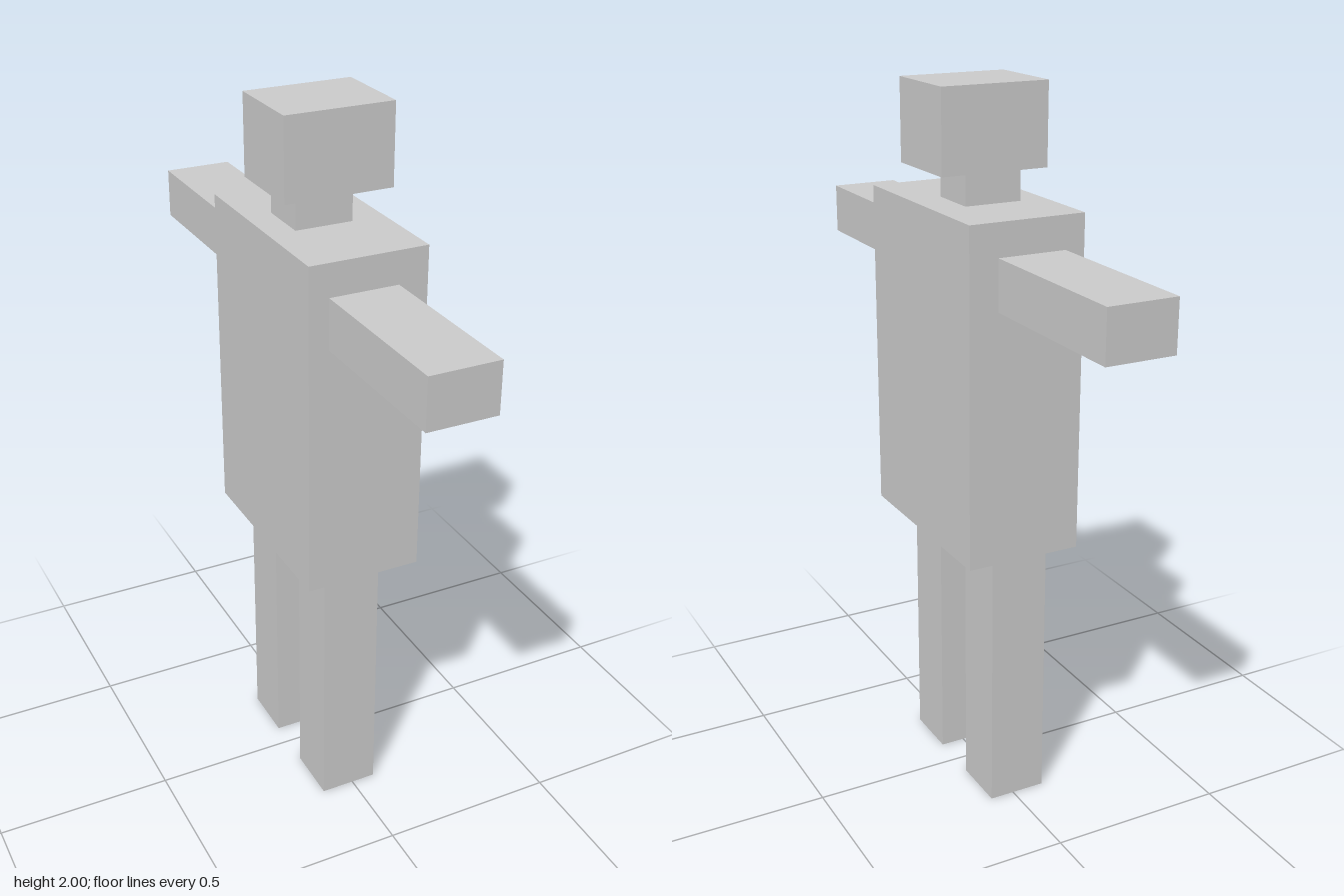
import * as THREE from 'three';

const material = new THREE.MeshStandardMaterial({ color: 0xcccccc, flatShading: true });

// Box spanning the given [min, max] ranges on each axis
function block(name, [x0, x1], [y0, y1], [z0, z1]) {
  const mesh = new THREE.Mesh(new THREE.BoxGeometry(x1 - x0, y1 - y0, z1 - z0), material);
  mesh.position.set((x0 + x1) / 2, (y0 + y1) / 2, (z0 + z1) / 2);
  mesh.name = name;
  return mesh;
}

export function createModel() {
  const figure = new THREE.Group();
  figure.name = 'blockFigure';

  // Head, neck and torso, stacked
  figure.add(
    block('head', [-0.142, 0.16], [1.78, 2], [-0.122, 0.118]),
    block('neck', [-0.09, 0.07], [1.69, 1.78], [-0.075, 0.07]),
    block('torso', [-0.165, 0.162], [0.767, 1.69], [-0.274, 0.299])
  );

  // Arms reach out along z, the body's broad direction
  const armX = [-0.11, 0.081], armY = [1.462, 1.6];
  figure.add(
    block('armFront', armX, armY, [0.299, 0.771]),
    block('armBack', armX, armY, [-0.771, -0.274])
  );

  // Legs
  const legX = [-0.095, 0.07], legY = [0, 0.767];
  figure.add(
    block('legFront', legX, legY, [0.088, 0.25]),
    block('legBack', legX, legY, [-0.23, -0.068])
  );

  return figure;
}
